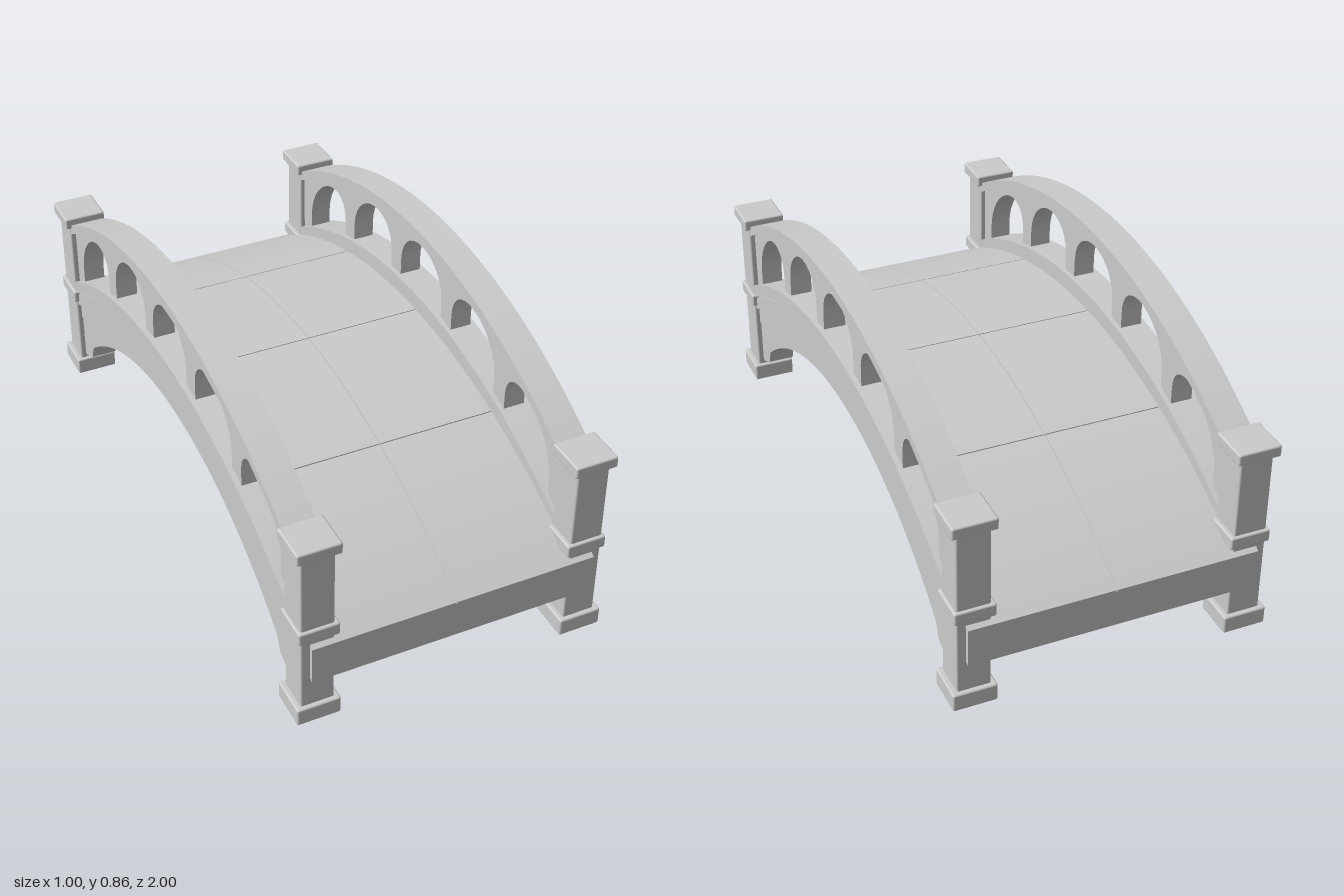
import * as THREE from 'three';
import { toCreasedNormals } from 'three/addons/utils/BufferGeometryUtils.js';
import { RoundedBoxGeometry } from 'three/addons/geometries/RoundedBoxGeometry.js';

const stone = new THREE.MeshStandardMaterial({ color: 0xcccccc });
stone.name = 'stone';

// Circular arc: height `top` at z = 0, lower by `drop` at z = ±end.
function arc(top, drop, end) {
  const r = (end * end + drop * drop) / (2 * drop);
  return z => top - r + Math.sqrt(r * r - z * z);
}

// Points (z, y) along a height rule.
function trace(height, z0, z1, n = 48) {
  return Array.from({ length: n + 1 }, (_, i) => {
    const z = z0 + (z1 - z0) * i / n;
    return new THREE.Vector2(z, height(z));
  });
}

// Side profile (z, y) pushed across from x0 to x1.
function across(name, points, x0, x1, holes = []) {
  const shape = new THREE.Shape(points);
  holes.forEach(h => shape.holes.push(new THREE.Path(h)));
  const geo = new THREE.ExtrudeGeometry(shape, { depth: x1 - x0, bevelEnabled: false });
  geo.rotateY(-Math.PI / 2).translate(x1, 0, 0);
  const mesh = new THREE.Mesh(toCreasedNormals(geo, 0.4), stone);
  mesh.name = name;
  return mesh;
}

function band(name, low, high, z0, z1, x0, x1, holes) {
  return across(name, [...trace(low, z0, z1), ...trace(high, z1, z0)], x0, x1, holes);
}

function block(name, w, h, d, x, y, z) {
  const mesh = new THREE.Mesh(new RoundedBoxGeometry(w, h, d, 2, 0.006), stone);
  mesh.name = name;
  mesh.position.set(x, y, z);
  return mesh;
}

// Arched opening whose sill and crown follow the bridge curve.
function opening(center) {
  const half = 0.137, sill = arc(0.612, 0.237, 0.88), spring = arc(0.665, 0.245, 0.88);
  const points = trace(sill, center - half, center + half, 10);
  for (let i = 0; i <= 20; i++) {
    const a = Math.PI * i / 20;
    const z = center + half * Math.cos(a);
    points.push(new THREE.Vector2(z, spring(z) + 0.13 * Math.pow(Math.sin(a), 0.85)));
  }
  return points;
}

function createDeck() {
  const deck = new THREE.Group();
  deck.name = 'deck';
  const curve = y => arc(y, 0.28, 1);
  deck.add(band('deckCore', curve(0.435), curve(0.555), -1, 1, -0.455, 0.455));
  // Paving slabs with narrow joints
  const gap = 0.0015;
  for (let row = 0; row < 4; row++) {
    const z0 = -1 + row * 0.5 + (row > 0 ? gap : 0);
    const z1 = -0.5 + row * 0.5 - (row < 3 ? gap : 0);
    for (const [x0, x1] of [[-0.455, -gap], [gap, 0.455]])
      deck.add(band('pavingSlab', curve(0.554), curve(0.561), z0, z1, x0, x1));
  }
  return deck;
}

function createSide(s) {
  const side = new THREE.Group();
  side.name = s > 0 ? 'leftParapet' : 'rightParapet';
  const range = (a, b) => s > 0 ? [a, b] : [-b, -a];
  const curve = (y, drop = 0.237) => arc(y, drop, 0.88);
  const E = 0.9;

  // Arch wall with short haunches beside the posts
  const soffit = trace(arc(0.432, 0.277, 0.785), -0.785, 0.785);
  const haunch = [[0.805, 0.105], [0.865, 0.075], [E, 0.07]].map(p => new THREE.Vector2(...p));
  const mirrored = haunch.map(p => new THREE.Vector2(-p.x, p.y)).reverse();
  side.add(across('archWall',
    [...mirrored, ...soffit, ...haunch, ...trace(curve(0.5), E, -E)], ...range(0.38, 0.465)));

  // Stepped mouldings and plinth
  for (const [name, low, high, outer] of [
    ['spandrelBand', 0.462, 0.53, 0.468],
    ['lowerMoulding', 0.522, 0.567, 0.477],
    ['mouldingGroove', 0.56, 0.58, 0.47],
    ['plinth', 0.573, 0.618, 0.482]])
    side.add(band(name, curve(low), curve(high), -E, E, ...range(0.38, outer)));

  // Pierced balustrade and handrail
  const holes = [-2, -1, 0, 1, 2].map(i => opening(i * 0.341));
  side.add(band('balustrade', curve(0.595), curve(0.83, 0.245), -E, E, ...range(0.395, 0.465), holes));
  side.add(band('handrail', curve(0.82, 0.245), curve(0.855, 0.245), -E, E, ...range(0.379, 0.481)));

  // End posts
  for (const e of [1, -1]) {
    const post = new THREE.Group();
    post.name = e > 0 ? 'frontPost' : 'backPost';
    post.add(
      block('postShaft', 0.105, 0.6, 0.105, s * 0.431, 0.325, e * 0.933),
      block('postFoot', 0.137, 0.058, 0.132, s * 0.4315, 0.029, e * 0.934),
      block('postCollar', 0.127, 0.042, 0.127, s * 0.429, 0.325, e * 0.932),
      block('postCap', 0.137, 0.038, 0.132, s * 0.4315, 0.622, e * 0.934));
    side.add(post);
  }
  return side;
}

export function createModel() {
  const bridge = new THREE.Group();
  bridge.name = 'archBridge';
  bridge.add(createDeck(), createSide(1), createSide(-1));
  return bridge;
}
